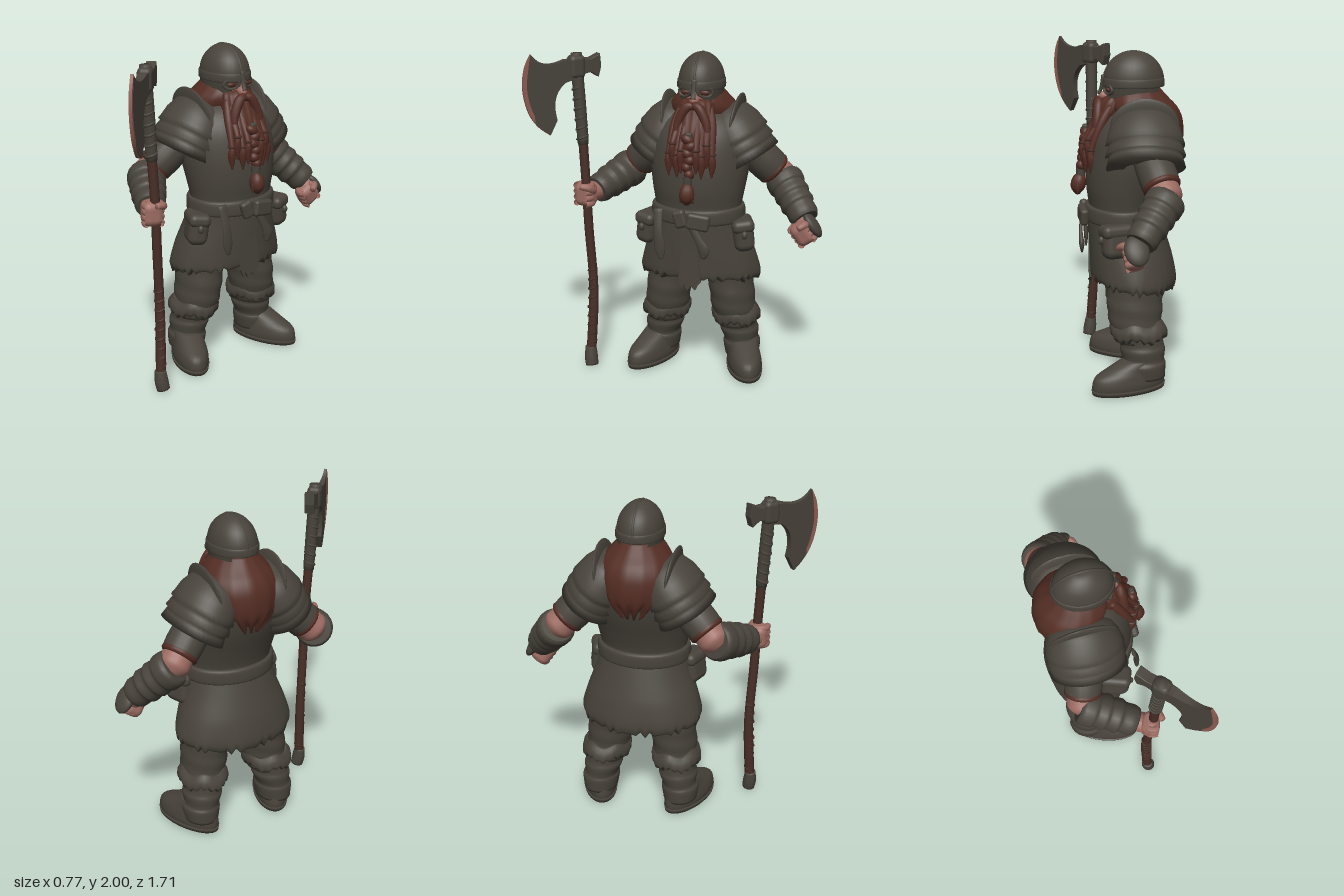
import * as THREE from 'three';
import { RoundedBoxGeometry } from 'three/addons/geometries/RoundedBoxGeometry.js';

const paint = (name, color) => {
  const m = new THREE.MeshStandardMaterial({ color, side: THREE.DoubleSide });
  m.name = name;
  return m;
};
const V = (x, y, z) => new THREE.Vector3(x, y, z);

// Catmull-Rom through rows of numbers, n samples per span
function spline(rows, n) {
  const out = [], last = rows.length - 1;
  for (let k = 0; k <= last * n; k++) {
    const i = Math.min(Math.floor(k / n), last - 1), t = k / n - i;
    const [a, b, c, d] = [i - 1, i, i + 1, i + 2].map(j => rows[Math.max(0, Math.min(last, j))]);
    out.push(b.map((q, j) => q + 0.5 * t * (c[j] - a[j] +
      t * (2 * a[j] - 5 * q + 4 * c[j] - d[j] + t * (3 * (q - c[j]) + d[j] - a[j])))));
  }
  return out;
}

// Closed skin over rings of points, capped at both ends
function skinOver(rings) {
  const n = rings[0].length, pos = [], idx = [];
  rings.forEach(r => r.forEach(p => pos.push(p.x, p.y, p.z)));
  for (let i = 0; i < rings.length - 1; i++) for (let j = 0; j < n; j++) {
    const a = i * n + j, b = i * n + (j + 1) % n;
    idx.push(a, b, b + n, a, b + n, a + n);
  }
  [0, rings.length - 1].forEach(i => {
    const c = V(0, 0, 0), id = pos.length / 3;
    rings[i].forEach(p => c.addScaledVector(p, 1 / n));
    pos.push(c.x, c.y, c.z);
    for (let j = 0; j < n; j++) {
      const a = i * n + j, b = i * n + (j + 1) % n;
      i ? idx.push(a, b, id) : idx.push(b, a, id);
    }
  });
  const g = new THREE.BufferGeometry();
  g.setAttribute('position', new THREE.Float32BufferAttribute(pos, 3));
  g.setIndex(idx);
  g.computeVertexNormals();
  return g;
}

// Horizontal oval sections [y, centreX, centreZ, radiusX, radiusZ], bottom to top
function loft(sections, shape = () => {}, segs = 32, n = 4) {
  const rows = spline(sections, n);
  return skinOver(rows.map(([y, cx, cz, rx, rz], i) => Array.from({ length: segs }, (_, j) => {
    const a = j / segs * Math.PI * 2, p = V(rx * Math.sin(a), y, rz * Math.cos(a));
    shape(p, a, i / (rows.length - 1), j);
    return p.add(V(cx, 0, cz));
  })));
}

// Round or flattened section along a path of [x, y, z, radius]
function sweep(path, flat = 1, segs = 12, n = 4) {
  const rows = spline(path, n), pts = rows.map(r => V(r[0], r[1], r[2]));
  return skinOver(rows.map((r, i) => {
    const t = pts[Math.min(i + 1, pts.length - 1)].clone().sub(pts[Math.max(i - 1, 0)]).normalize();
    const A = t.clone().cross(V(0, 0, 1)).normalize(), B = A.clone().cross(t);
    return Array.from({ length: segs }, (_, j) => {
      const a = j / segs * Math.PI * 2;
      return pts[i].clone().addScaledVector(A, r[3] * Math.sin(a)).addScaledVector(B, r[3] * flat * Math.cos(a));
    });
  }));
}

export function createModel() {
  const dark = paint('darkLeatherAndIron', 0x48433b), hair = paint('redBrownHair', 0x532d23);
  const wood = paint('brownWood', 0x482e27), skin = paint('skin', 0x9c6c62), edge = paint('bladeEdge', 0x8e5d52);
  const model = new THREE.Group(), figure = new THREE.Group(), body = new THREE.Group();
  model.name = 'axeWarrior'; figure.name = 'figure'; body.name = 'body';
  body.position.x = 0.1;
  figure.rotation.y = Math.PI / 2; // the figure looks towards +x
  figure.add(body); model.add(figure);
  const add = (parent, name, geo, mat, p = [0, 0, 0], r = [0, 0, 0], s = [1, 1, 1]) => {
    const m = new THREE.Mesh(geo, mat);
    m.name = name; m.position.set(...p); m.rotation.set(...r); m.scale.set(...s);
    parent.add(m);
    return m;
  };
  const ball = new THREE.SphereGeometry(1, 24, 16);

  // Torso, tunic skirt with ragged hem, belt
  add(body, 'torso', loft([[0.98, 0, -0.02, 0.265, 0.21], [1.08, 0, -0.02, 0.265, 0.205], [1.2, 0, -0.03, 0.285, 0.23],
    [1.35, 0, -0.06, 0.305, 0.255], [1.5, 0, -0.09, 0.3, 0.255], [1.6, 0, -0.11, 0.25, 0.215], [1.66, 0, -0.12, 0.15, 0.15]]), dark);
  add(body, 'tunicSkirt', loft([[0.655, 0, -0.08, 0.365, 0.25], [0.68, 0, -0.08, 0.375, 0.26], [0.78, 0, -0.065, 0.345, 0.25],
    [0.92, 0, -0.04, 0.295, 0.23], [1.04, 0, -0.02, 0.265, 0.21]], (p, a, t, j) => {
    const low = Math.max(0, 1 - t * 2);
    p.y += low * ((j % 2 ? -0.012 : 0.006) - 0.03 * (1 - Math.cos(a)) + 0.012 * Math.sin(j * 2.3));
    p.multiply(V(1 + 0.015 * low * Math.sin(a * 9), 1, 1 + 0.02 * low * Math.sin(a * 7)));
  }, 80), dark);
  const panel = new THREE.Shape([[-0.03, 1], [-0.07, 0.64], [-0.05, 0.595], [-0.035, 0.62], [-0.015, 0.58], [0.01, 0.61],
    [0.035, 0.585], [0.05, 0.615], [0.07, 0.64], [0.03, 1]].map(p => new THREE.Vector2(...p)));
  add(body, 'frontPanel', new THREE.ExtrudeGeometry(panel, { depth: 0.015, bevelEnabled: false }), dark, [0, 0, 0.172]);
  add(body, 'belt', loft([[0.995, 0, -0.02, 0.275, 0.22], [1.01, 0, -0.02, 0.287, 0.232], [1.075, 0, -0.02, 0.285, 0.23],
    [1.09, 0, -0.02, 0.27, 0.215]]), dark);
  add(body, 'buckle', new RoundedBoxGeometry(0.14, 0.1, 0.05, 3, 0.02), dark, [0.06, 1.03, 0.22], [0, 0.15, -0.15]);
  add(body, 'beltKnot', new RoundedBoxGeometry(0.08, 0.11, 0.05, 3, 0.022), dark, [-0.05, 1.04, 0.215], [0, 0, 0.3]);
  add(body, 'hangingStrap', sweep([[-0.2, 1.08, 0.17, 0.03], [-0.19, 0.95, 0.2, 0.027], [-0.18, 0.84, 0.2, 0.034], [-0.175, 0.77, 0.2, 0.012]], 0.4), dark);
  add(body, 'diagonalStrap', sweep([[0, 1.04, 0.23, 0.02], [0.07, 0.92, 0.235, 0.025], [0.1, 0.86, 0.23, 0.036], [0.09, 0.81, 0.23, 0.015]], 0.45), dark);

  for (const s of [-1, 1]) {
    // Belt pouches
    add(body, 'pouch', new RoundedBoxGeometry(0.125, 0.19, 0.18, 4, 0.05), dark, [s * 0.29, 0.92, 0.03], [0, s * 0.35, s * 0.12]);
    add(body, 'pouchFlap', new RoundedBoxGeometry(0.135, 0.08, 0.19, 4, 0.035), dark, [s * 0.285, 0.985, 0.035], [0, s * 0.35, s * 0.12]);
    add(body, 'pouchClasp', ball, dark, [s * 0.32, 0.94, 0.12], [0, 0, 0], [0.018, 0.025, 0.018]);

    // Trousers, boots, fur cuffs
    add(body, 'trouserLeg', loft([[0.3, s * 0.225, -0.1, 0.12, 0.14], [0.4, s * 0.215, -0.085, 0.135, 0.155],
      [0.5, s * 0.205, -0.08, 0.138, 0.165], [0.62, s * 0.19, -0.08, 0.14, 0.165], [0.85, s * 0.16, -0.06, 0.14, 0.15]],
    (p, a, t) => p.multiply(V(1 + 0.02 * Math.sin(t * 24 + a), 1, 1 + 0.02 * Math.sin(t * 24 + a)))), dark);
    add(body, 'bootShaft', loft([[0.08, s * 0.262, -0.135, 0.105, 0.125], [0.16, s * 0.26, -0.13, 0.116, 0.133], [0.19, s * 0.255, -0.13, 0.105, 0.125],
      [0.25, s * 0.245, -0.125, 0.12, 0.135], [0.29, s * 0.24, -0.12, 0.112, 0.13], [0.38, s * 0.225, -0.1, 0.13, 0.145]]), dark);
    const foot = new THREE.Group(); // toes turned outwards
    foot.name = 'foot'; foot.position.set(s * 0.298, 0, -0.04); foot.rotation.y = s * 0.36; body.add(foot);
    add(foot, 'bootFoot', loft([[0.02, 0, 0, 0.1, 0.226], [0.06, 0, 0, 0.107, 0.23], [0.11, 0, -0.005, 0.1, 0.216],
      [0.15, 0, -0.035, 0.092, 0.17], [0.2, 0, -0.09, 0.09, 0.115]]), dark);
    add(foot, 'bootSole', loft([[0.008, 0, 0, 0.106, 0.23], [0.035, 0, 0, 0.11, 0.235]], () => {}, 32, 1), dark);
    add(body, 'furCuff', loft([[0.325, s * 0.23, -0.105, 0.125, 0.14], [0.34, s * 0.228, -0.105, 0.15, 0.17],
      [0.38, s * 0.225, -0.1, 0.152, 0.17], [0.42, s * 0.22, -0.095, 0.13, 0.15]], (p, a, t, j) => {
      p.y += (j % 2 ? -0.018 : 0.005) * (1 - t) + 0.012 * Math.sin(a * 5 + s);
    }, 40), dark);

    // Shoulder armour: a cap with overlapping bands down the arm, and an upright guard
    const plates = [[0, -0.2], [0.09, -0.185], [0.14, -0.14], [0.17, -0.07], [0.18, -0.01], [0.187, 0.02], [0.172, 0.021],
      [0.178, 0.045], [0.188, 0.085], [0.172, 0.086], [0.176, 0.11], [0.185, 0.155], [0.1, 0.16]];
    add(body, 'shoulderArmour', new THREE.LatheGeometry(plates.map(p => new THREE.Vector2(...p)), 40), dark,
      [s * 0.215, 1.488, -0.135], [0, 0, -s * 2.59], [1, 1, 1.23]);
    add(body, 'shoulderGuard', ball, dark, [s * 0.207, 1.575, -0.135], [0, 0, -s * 0.13], [0.025, 0.17, 0.2]);

    // Helmet cheek, eye, brow rim
    add(body, 'cheekGuard', new THREE.CylinderGeometry(0.138, 0.12, 0.14, 16, 1, true, s > 0 ? 0.45 : -2.5, 2.05), dark,
      [0, 1.735, -0.08], [0, 0, 0], [1, 1, 1.3]);
    add(body, 'eye', ball, hair, [s * 0.055, 1.773, 0.07], [0, 0, 0], [0.032, 0.017, 0.015]);
    add(body, 'eyeRim', new THREE.TorusGeometry(0.045, 0.011, 8, 20), dark, [s * 0.06, 1.776, 0.07], [0, s * 0.5, -s * 0.15], [1, 0.65, 1]);
    add(body, 'moustache', sweep([[0, 1.7, 0.12, 0.022], [s * 0.04, 1.69, 0.125, 0.03], [s * 0.085, 1.6, 0.135, 0.027], [s * 0.1, 1.5, 0.16, 0.012]]), hair);

    // Beard locks, each ending in a bound tuft
    for (let i = 0; i < 4; i++) {
      const x = 0.04 + i * 0.028, end = 1.4 - (i % 2) * 0.06 + (i === 0 ? -0.03 : 0), z = 0.215 - i * 0.015;
      add(body, 'beardLock', sweep([[s * x * 0.7, 1.68, 0.09 - i * 0.012, 0.022], [s * x * 0.9, 1.58, 0.14 - i * 0.01, 0.028],
        [s * (x + 0.005), end + 0.09, z, 0.019], [s * (x + 0.007), end + 0.03, z, 0.024], [s * (x + 0.005), end - 0.05, z + 0.005, 0.004]], 1, 10), hair);
      add(body, 'lockRing', new THREE.TorusGeometry(0.02, 0.007, 6, 14), wood, [s * (x + 0.005), end + 0.09, z], [Math.PI / 2, 0, 0]);
    }
  }

  // Head and helmet
  add(body, 'head', ball, skin, [0, 1.74, -0.055], [0, 0, 0], [0.11, 0.15, 0.13]);
  add(body, 'nose', ball, skin, [0, 1.73, 0.09], [0, 0, 0], [0.028, 0.028, 0.035]);
  add(body, 'helmetDome', loft([[1.79, 0, -0.08, 0.136, 0.175], [1.85, 0, -0.08, 0.134, 0.172], [1.91, 0, -0.08, 0.115, 0.148],
    [1.955, 0, -0.08, 0.08, 0.105], [1.982, 0, -0.08, 0.04, 0.055], [1.988, 0, -0.08, 0.003, 0.004]]), dark);
  add(body, 'helmetBand', loft([[1.785, 0, -0.08, 0.135, 0.172], [1.79, 0, -0.08, 0.143, 0.182], [1.83, 0, -0.08, 0.141, 0.18],
    [1.836, 0, -0.08, 0.132, 0.17]]), dark);
  add(body, 'helmetRidge', new THREE.TorusGeometry(0.172, 0.009, 8, 32, Math.PI), dark, [0, 1.812, -0.08], [0, Math.PI / 2, 0]);
  add(body, 'noseGuard', sweep([[0, 1.74, 0.122, 0.016], [0, 1.78, 0.108, 0.014], [0, 1.85, 0.096, 0.016]], 0.7), dark);

  // Beard, central braid, hair spread over the back and shoulders
  const strands = k => (p, a) => p.multiply(V(1 + k * Math.sin(a * 13), 1, 1 + k * Math.sin(a * 13)));
  add(body, 'beard', loft([[1.42, 0, 0.18, 0.03, 0.025], [1.48, 0, 0.155, 0.07, 0.045], [1.56, 0, 0.11, 0.1, 0.07],
    [1.64, 0, 0.06, 0.11, 0.085], [1.71, 0, 0.03, 0.1, 0.085], [1.74, 0, 0, 0.075, 0.07]], strands(0.04), 52), hair);
  for (let i = 0; i < 6; i++) add(body, 'braidTwist', ball, hair, [(i % 2 ? 0.008 : -0.008), 1.52 - i * 0.04, 0.2 + i * 0.005],
    [0, 0, i % 2 ? 0.5 : -0.5], [0.044 - i * 0.003, 0.032, 0.034]);
  add(body, 'braidRing', new THREE.CylinderGeometry(0.028, 0.026, 0.055, 16), dark, [0, 1.28, 0.232]);
  add(body, 'beardClasp', new RoundedBoxGeometry(0.04, 0.045, 0.03, 2, 0.01), dark, [0, 1.54, 0.205]);
  add(body, 'braidTuft', sweep([[0, 1.14, 0.25, 0.012], [0, 1.18, 0.25, 0.042], [0, 1.23, 0.242, 0.042], [0, 1.265, 0.235, 0.02]]), hair);
  for (const x of [-0.03, 0.03]) add(body, 'tuftTip', sweep([[x * 1.2, 1.15, 0.25, 0.004], [x * 0.8, 1.2, 0.248, 0.022], [x * 0.4, 1.25, 0.238, 0.014]]), hair);
  add(body, 'backHair', loft([[1.37, 0, -0.275, 0.08, 0.05], [1.46, 0, -0.23, 0.175, 0.14], [1.58, 0, -0.18, 0.215, 0.19],
    [1.66, 0, -0.14, 0.205, 0.2], [1.72, 0, -0.11, 0.165, 0.175], [1.78, 0, -0.1, 0.11, 0.13]], (p, a, t, j) => {
    strands(0.012)(p, a);
    p.y += Math.max(0, 1 - t * 3) * (j % 4 < 2 ? -0.02 : 0.02);
  }, 52), hair);

  // Arms from joints given as [x, y, z]
  const mix = (a, b, t) => a.map((v, i) => v + (b[i] - v) * t);
  function arm(side, shoulder, elbow, wrist, hand, turn) {
    const g = new THREE.Group();
    g.name = side + 'Arm'; figure.add(g);
    const along = (a, b, list) => sweep(list.map(([t, r]) => [...mix(a, b, t), r]), 1, 20);
    add(g, 'sleeve', along(shoulder, elbow, [[0, 0.1], [0.4, 0.11], [0.6, 0.112], [0.76, 0.108]]), dark);
    add(g, 'sleeveTrim', along(shoulder, elbow, [[0.71, 0.106], [0.78, 0.11], [0.82, 0.098]]), hair);
    add(g, 'bareElbow', along(shoulder, elbow, [[0.6, 0.09], [0.85, 0.094], [1, 0.092], [1.12, 0.05]]), skin);
    add(g, 'bracer', along(elbow, wrist, [[-0.05, 0.098], [0.03, 0.115], [0.2, 0.115], [0.27, 0.104], [0.42, 0.11], [0.5, 0.099],
      [0.65, 0.105], [0.73, 0.092], [0.9, 0.092], [1, 0.08]]), dark);
    add(g, 'wrist', along(wrist, hand, [[-0.1, 0.06], [0.5, 0.06], [0.9, 0.055]]), skin);
    const fist = new THREE.Group();
    fist.name = side + 'Fist'; fist.position.set(...hand); fist.rotation.set(...turn); g.add(fist);
    add(fist, 'palm', new RoundedBoxGeometry(0.125, 0.15, 0.115, 4, 0.045), skin, [0, 0, -0.012]);
    for (let i = 0; i < 4; i++) add(fist, 'finger', new THREE.TorusGeometry(0.047, 0.021, 8, 16, 4.4), skin,
      [0, 0.055 - i * 0.036, 0.005], [Math.PI / 2, 0, 2.6]);
    add(fist, 'thumb', sweep([[0.05, 0.02, -0.02, 0.022], [0.055, 0.05, 0.03, 0.024], [0.01, 0.06, 0.06, 0.018]]), skin);
  }
  arm('right', [-0.13, 1.47, -0.14], [-0.382, 1.225, -0.22], [-0.53, 1.13, 0.06], [-0.572, 1.125, 0.145], [0, -0.3, 0]);
  arm('left', [0.33, 1.47, -0.14], [0.575, 1.215, -0.24], [0.75, 1.01, -0.08], [0.742, 0.935, -0.035], [0.15, 0.1, 0.6]);
  add(figure, 'bracerFlap', ball, dark, [0.795, 0.985, -0.06], [0.1, 0.2, 0.6], [0.035, 0.09, 0.07]);

  // Axe shaft, grip wraps and end cap
  const axe = new THREE.Group();
  axe.name = 'axe'; figure.add(axe);
  add(axe, 'shaft', sweep([[-0.55, 0.1, 0.165, 0.031], [-0.535, 0.4, 0.145, 0.03], [-0.535, 0.6, 0.14, 0.028], [-0.55, 0.9, 0.15, 0.028],
    [-0.56, 1.2, 0.155, 0.028], [-0.575, 1.48, 0.15, 0.029]], 1, 14, 6), wood);
  for (let i = 0; i < 9; i++) add(axe, 'gripWrap', new THREE.TorusGeometry(0.027, 0.006, 6, 16), wood,
    [-0.546 + (i > 4 ? 0.008 : 0.003), 0.16 + i * 0.06, 0.16 - i * 0.0025], [Math.PI / 2, 0.35, 0]);
  add(axe, 'endCap', sweep([[-0.543, 0.008, 0.178, 0.04], [-0.55, 0.06, 0.17, 0.042], [-0.553, 0.13, 0.163, 0.034]], 1, 14), dark);
  add(axe, 'upperShaft', sweep([[-0.573, 1.44, 0.15, 0.033], [-0.585, 1.65, 0.15, 0.036], [-0.597, 1.85, 0.15, 0.036], [-0.602, 1.985, 0.15, 0.034]], 1, 14), dark);
  for (let i = 0; i < 6; i++) add(axe, 'upperWrap', new THREE.TorusGeometry(0.033, 0.008, 6, 16), dark,
    [-0.577 - i * 0.004, 1.48 + i * 0.06, 0.15], [Math.PI / 2, 0.4, 0]);

  // Axe head, thinning towards the cutting edge
  const head = new THREE.Group();
  head.name = 'axeHead'; head.position.set(-0.6, 0, 0.15); head.rotation.y = Math.PI + 0.764; axe.add(head);
  const v2 = list => list.map(p => new THREE.Vector2(...p));
  const cut = v2([[0.285, 1.995], [0.325, 1.91], [0.338, 1.79], [0.31, 1.66], [0.255, 1.57], [0.185, 1.512]]);
  const blade = new THREE.Shape();
  blade.moveTo(0, 1.95); blade.lineTo(0.08, 1.95);
  blade.quadraticCurveTo(0.22, 1.9, 0.285, 1.995);
  blade.splineThru(cut.slice(1));
  blade.lineTo(0.14, 1.6);
  blade.quadraticCurveTo(0.18, 1.75, 0.08, 1.82); blade.lineTo(0, 1.84);
  const bladeGeo = new THREE.ExtrudeGeometry(blade, { depth: 0.07, bevelEnabled: false }).translate(0, 0, -0.035);
  const bp = bladeGeo.attributes.position;
  for (let i = 0; i < bp.count; i++) bp.setZ(i, bp.getZ(i) * (1 - bp.getX(i) / 0.37));
  bladeGeo.computeVertexNormals();
  add(head, 'blade', bladeGeo, dark);
  const rim = new THREE.Shape();
  rim.moveTo(0.285, 1.995); rim.splineThru(cut.slice(1));
  rim.splineThru(cut.slice(1, 5).reverse().map(p => new THREE.Vector2(p.x - 0.024, p.y + 0.004)).concat(cut[0]));
  add(head, 'cuttingEdge', new THREE.ExtrudeGeometry(rim, { depth: 0.018, bevelEnabled: false, curveSegments: 6 }), edge, [0.003, 0, -0.009]);
  const poll = new THREE.Shape(v2([[0, 1.95], [-0.08, 1.945], [-0.135, 1.97], [-0.14, 1.9], [-0.125, 1.845], [-0.08, 1.875], [0, 1.86]]));
  add(head, 'poll', new THREE.ExtrudeGeometry(poll, { depth: 0.05, bevelSize: 0.005, bevelThickness: 0.005, bevelSegments: 2 }), dark, [0, 0, -0.025]);
  add(head, 'socket', new RoundedBoxGeometry(0.1, 0.14, 0.085, 3, 0.03), dark, [0.005, 1.905, 0]);
  return model;
}
